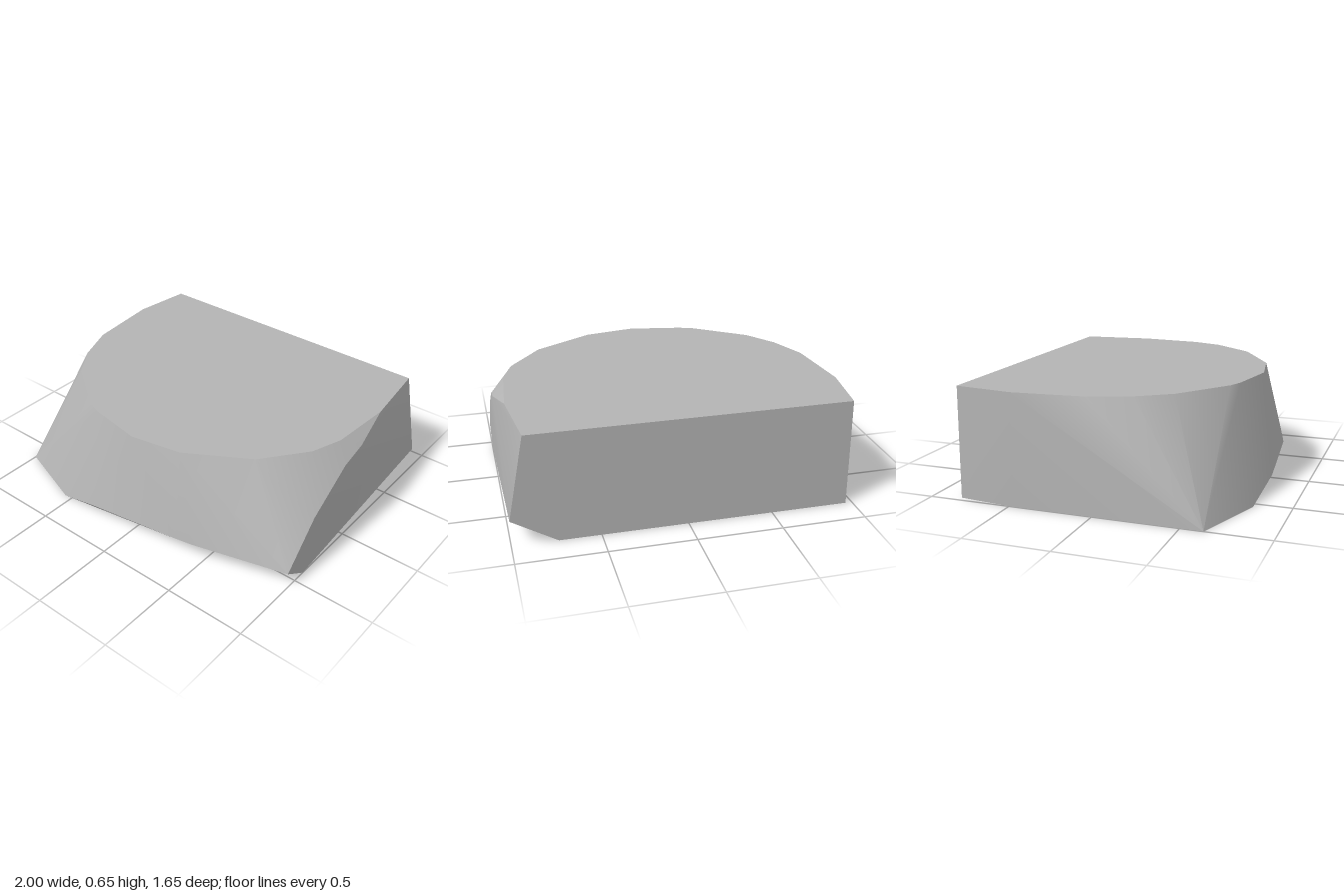
import * as THREE from 'three';
import { ConvexGeometry } from 'three/addons/geometries/ConvexGeometry.js';
import { toCreasedNormals } from 'three/addons/utils/BufferGeometryUtils.js';

const HEIGHT = 0.655;

// Rounded outline of the flat top, as x, z
const topOutline = [
  [-0.95, -0.825], [-1, -0.47], [-0.96, -0.03], [-0.87, 0.2], [-0.74, 0.385],
  [-0.43, 0.61], [-0.34, 0.645], [-0.01, 0.705], [0.3, 0.65], [0.66, 0.44],
  [0.86, 0.185], [0.925, 0], [0.955, -0.39], [0.905, -0.825],
];

// Flat underside, as x, z
const baseOutline = [
  [-0.96, -0.825], [-1, -0.47], [-1, 0.63], [-0.55, 0.785], [1, 0.42], [0.74, -0.825],
];

// Lip above the chipped front edge, as x, y, z
const frontLip = [
  [-0.25, 0.1, 0.825], [0.35, 0.135, 0.768], [0.45, 0.13, 0.745], [1, 0.105, 0.575],
];

// Rim of the cut side wall and its lower back corner, as x, y, z
const sideRim = [
  [1, 0.355, 0.34], [1, 0.545, 0.05], [1, 0.59, -0.115], [1, 0.155, -0.825],
];

export function createModel() {
  const stone = new THREE.MeshStandardMaterial({ color: 0xb4b4b4 });
  stone.name = 'stoneGrey';

  const points = [
    ...topOutline.map(([x, z]) => new THREE.Vector3(x, HEIGHT, z)),
    ...baseOutline.map(([x, z]) => new THREE.Vector3(x, 0, z)),
    ...[...frontLip, ...sideRim].map((p) => new THREE.Vector3(...p)),
  ];

  // Smooth sloping front, sharp cut edges
  const geometry = toCreasedNormals(new ConvexGeometry(points), THREE.MathUtils.degToRad(30));
  const slab = new THREE.Mesh(geometry, stone);
  slab.name = 'stoneSlab';

  const model = new THREE.Group();
  model.name = 'cutStone';
  model.add(slab);
  return model;
}
